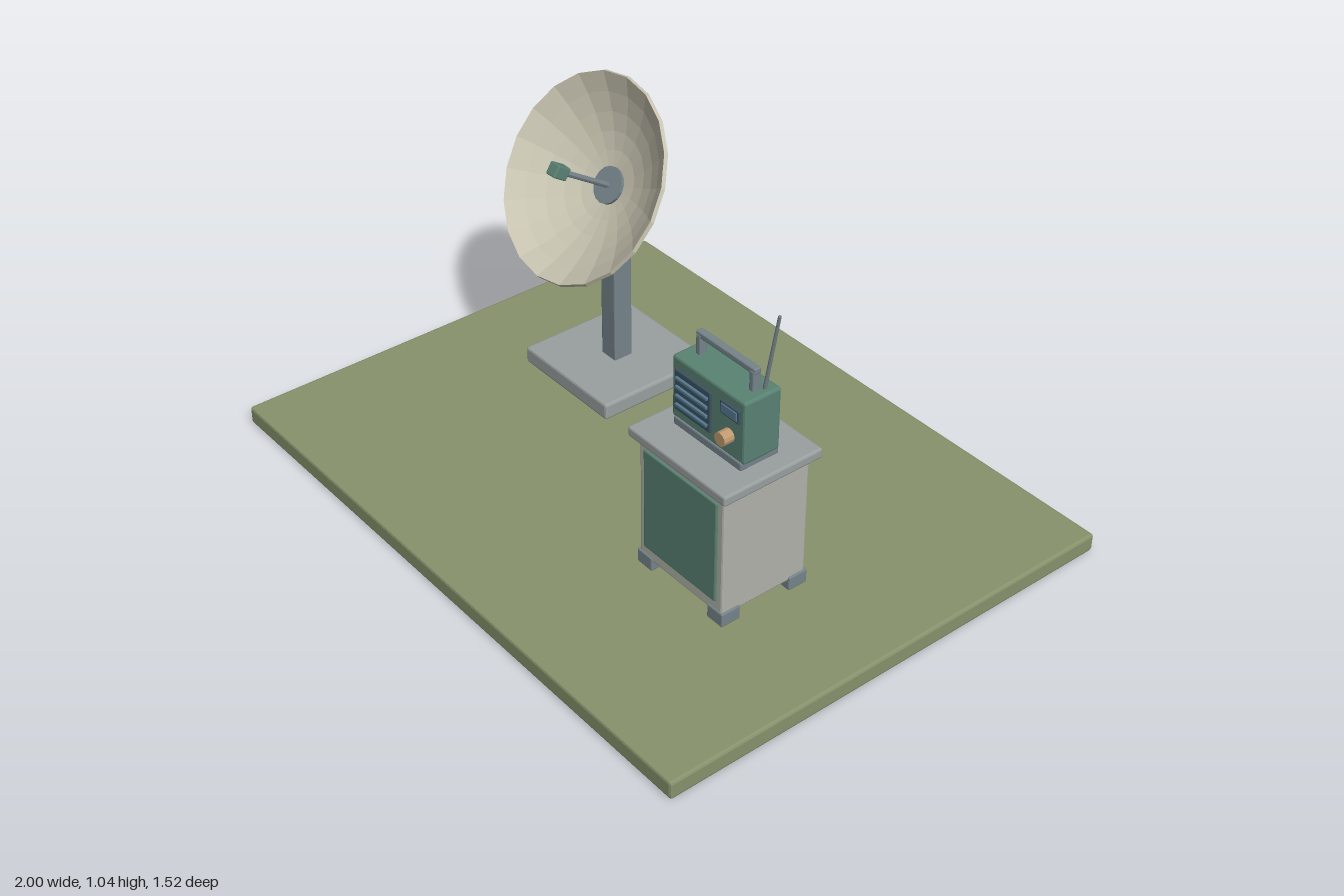
import * as THREE from 'three';
import { RoundedBoxGeometry } from 'three/addons/geometries/RoundedBoxGeometry.js';

const mat = (color) => new THREE.MeshStandardMaterial({ color, flatShading: true });
const M = {
  ground: mat(0x87926c), dish: mat(0xc9c5b2), green: mat(0x5a8374), plate: mat(0x9aa0a0),
  steel: mat(0x76848a), cabinet: mat(0xb1b3aa), dark: mat(0x3b5260), blue: mat(0x557a92), knob: mat(0xc09a70),
};

function add(parent, name, geometry, material, x = 0, y = 0, z = 0) {
  const mesh = new THREE.Mesh(geometry, material);
  mesh.name = name;
  mesh.position.set(x, y, z);
  parent.add(mesh);
  return mesh;
}

// Bevelled box given by its [min, max] extents
function box(parent, name, material, [x0, x1], [y0, y1], [z0, z1], bevel = 0.004) {
  const g = new RoundedBoxGeometry(x1 - x0, y1 - y0, z1 - z0, 1, bevel);
  return add(parent, name, g, material, (x0 + x1) / 2, (y0 + y1) / 2, (z0 + z1) / 2);
}

function group(parent, name) {
  const g = new THREE.Group();
  g.name = name;
  parent.add(g);
  return g;
}

function buildAntenna(parent) {
  const station = group(parent, 'dishStation');
  const cx = -0.473;
  box(station, 'dishFootplate', M.plate, [cx - 0.2, cx + 0.2], [0.055, 0.11], [-0.433, -0.03], 0.008);
  box(station, 'mast', M.steel, [cx - 0.033, cx + 0.033], [0.105, 0.675], [-0.262, -0.196]);

  // Dish assembly: local y is the pointing axis, the rim lies at y = 0
  const head = group(station, 'dishHead');
  head.position.set(cx, 0.773, -0.107);
  head.rotation.x = 1.01;

  // Thin closed shell: outer bowl out to the rim, then the inner bowl back
  const R = 0.32, depth = 0.125, wall = 0.012, rings = 6;
  const outer = [], inner = [];
  for (let i = 0; i <= rings; i++) {
    const t = i / rings;
    const y = -depth * (1 - t * t);
    outer.push(new THREE.Vector2(R * t, y - wall));
    inner.unshift(new THREE.Vector2((R - 0.004) * t, y));
  }
  add(head, 'dishBowl', new THREE.LatheGeometry([...outer, ...inner], 20), M.dish);

  add(head, 'rearHub', new THREE.CylinderGeometry(0.049, 0.049, 0.07, 16), M.steel, 0, -0.161, 0);
  add(head, 'frontHub', new THREE.CylinderGeometry(0.057, 0.057, 0.014, 16), M.steel, 0, -0.118, 0);
  add(head, 'feedArm', new THREE.CylinderGeometry(0.009, 0.009, 0.2, 8), M.steel, 0, -0.02, 0);
  box(head, 'feedHorn', M.green, [-0.02, 0.02], [0.07, 0.12], [-0.02, 0.02]);
}

function buildCabinet(parent) {
  const cabinet = group(parent, 'cabinet');
  box(cabinet, 'cabinetBody', M.cabinet, [0.297, 0.64], [0.087, 0.482], [0.002, 0.294], 0.006);
  box(cabinet, 'cabinetTop', M.plate, [0.272, 0.666], [0.48, 0.511], [-0.02, 0.315], 0.006);
  box(cabinet, 'cabinetDoor', M.green, [0.32, 0.618], [0.128, 0.455], [0.286, 0.301]);
  for (const x of [0.32, 0.615])
    for (const z of [0.029, 0.266])
      box(cabinet, 'cabinetFoot', M.steel, [x - 0.031, x + 0.031], [0.055, 0.1], [z - 0.032, z + 0.032]);
}

function buildRadio(parent) {
  const radio = group(parent, 'radio');
  box(radio, 'radioPlinth', M.steel, [0.337, 0.607], [0.509, 0.535], [0.082, 0.212]);
  box(radio, 'radioCase', M.green, [0.326, 0.614], [0.53, 0.724], [0.086, 0.208], 0.007);

  // Speaker grille with slats, and tuning display
  box(radio, 'speakerPanel', M.dark, [0.343, 0.486], [0.563, 0.69], [0.2, 0.215], 0.003);
  for (let i = 0; i < 4; i++) {
    const y = 0.584 + i * 0.028;
    box(radio, 'speakerSlat', M.blue, [0.352, 0.478], [y - 0.005, y + 0.005], [0.21, 0.222], 0.002);
  }
  box(radio, 'display', M.dark, [0.524, 0.598], [0.654, 0.694], [0.2, 0.215], 0.003);
  box(radio, 'displayWindow', M.blue, [0.53, 0.592], [0.66, 0.688], [0.21, 0.218], 0.002);
  const knob = add(radio, 'tuningKnob', new THREE.CylinderGeometry(0.021, 0.021, 0.036, 12), M.knob, 0.556, 0.597, 0.223);
  knob.rotation.x = Math.PI / 2;

  // Carry handle
  for (const x of [0.368, 0.577])
    box(radio, 'handlePost', M.steel, [x - 0.009, x + 0.009], [0.715, 0.785], [0.132, 0.158]);
  box(radio, 'handleBar', M.steel, [0.357, 0.588], [0.774, 0.793], [0.134, 0.156]);

  // Whip aerial leaning outward
  const a = new THREE.Vector3(0.59, 0.715, 0.124), b = new THREE.Vector3(0.638, 0.967, 0.124);
  const whip = add(radio, 'whipAerial', new THREE.CylinderGeometry(0.0045, 0.0055, a.distanceTo(b), 8), M.steel);
  whip.position.lerpVectors(a, b, 0.5);
  whip.quaternion.setFromUnitVectors(new THREE.Vector3(0, 1, 0), b.clone().sub(a).normalize());
}

export function createModel() {
  const model = new THREE.Group();
  model.name = 'fieldStation';
  box(model, 'groundSlab', M.ground, [-1, 1], [0, 0.057], [-0.76, 0.76], 0.008);
  buildAntenna(model);
  buildCabinet(model);
  buildRadio(model);
  return model;
}
